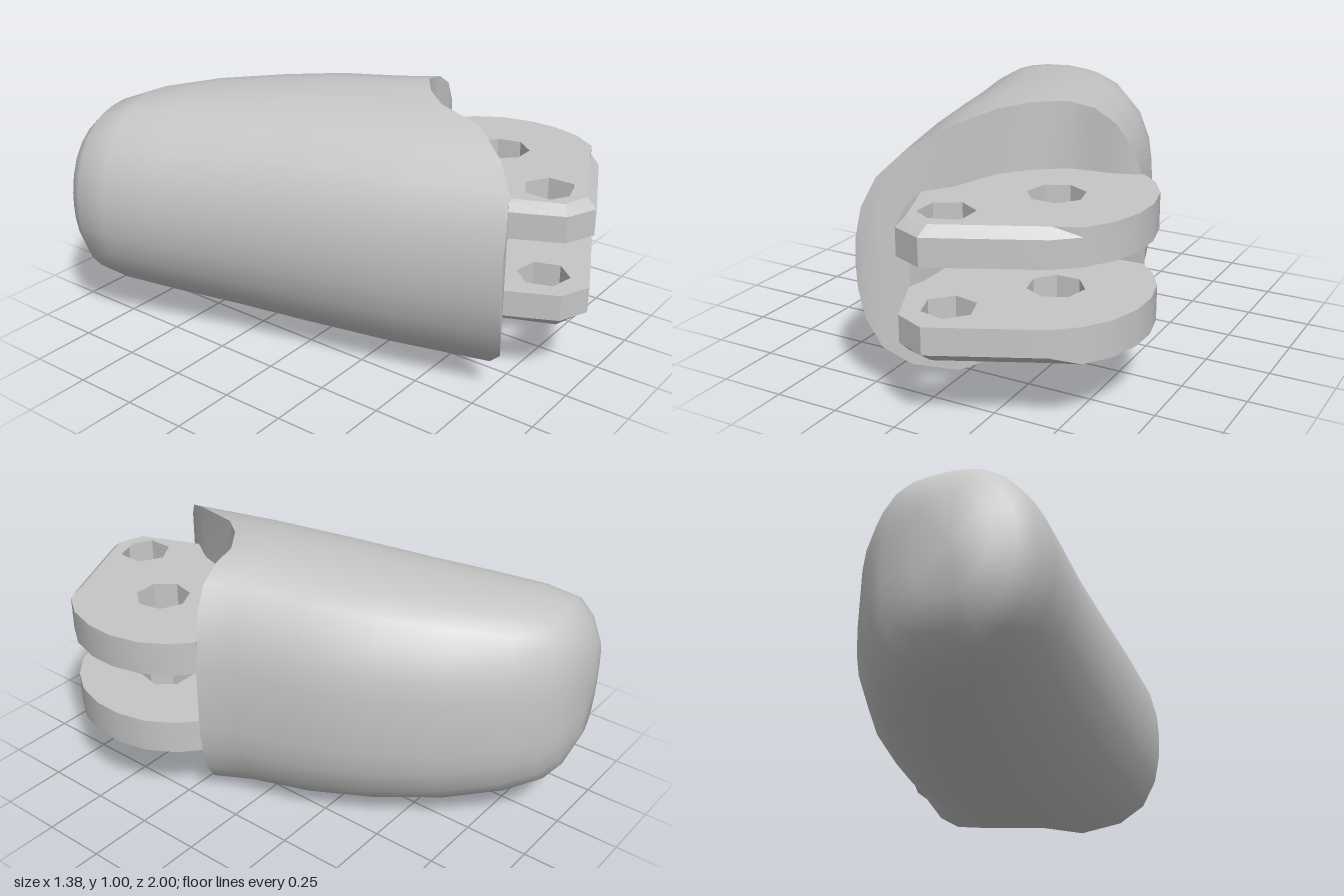
import * as THREE from 'three';
import { toCreasedNormals } from 'three/addons/utils/BufferGeometryUtils.js';

const MID = 0.5;            // height of the symmetry plane
const SLOT = 0.11;          // half height of the slot between the lugs
const SLOT_BACK = 0.13;     // z of the slot's back wall
const SLOT_LEFT = -0.1;     // x where the slot begins

// Plan curve (x, z) of the scooped front end
const cut = [
  [-0.25, 0.84], [-0.245, 0.84], [-0.22, 0.835], [-0.17, 0.81], [SLOT_LEFT, 0.73],
  [0, 0.58], [0.06, 0.38], [0.14, 0.28], [0.25, 0.2], [0.35, 0.185],
  [0.43, 0.175], [0.49, 0.155], [0.525, 0.14], [0.537, 0.132], [0.54, 0.13],
];
const us = cut.map(([x]) => (x + 0.25) / 0.79);

// Sections from the front to the tip: edge x, z; other edge x, z; half height; share of the scoop
const sections = [
  [-0.25, 0.84, 0.54, 0.13, 0.5, 1],
  [-0.36, 0.45, 0.475, 0, 0.495, 0.5],
  [-0.46, 0.07, 0.41, -0.23, 0.48, 0.2],
  [-0.54, -0.22, 0.31, -0.46, 0.455, 0],
  [-0.62, -0.48, 0.16, -0.69, 0.425, 0],
  [-0.68, -0.68, 0, -0.86, 0.39, 0],
  [-0.695, -0.8, -0.12, -0.95, 0.35, 0],
  [-0.66, -0.87, -0.2, -0.988, 0.29, 0],
  [-0.59, -0.935, -0.34, -1, 0.19, 0],
];

const lerp = THREE.MathUtils.lerp;
// Section height across the width: softer on the low-x side, squarer on the other
function rise(u) {
  const v = Math.abs(2 * Math.pow(u, 1.23) - 1);
  return Math.pow(Math.max(0, 1 - Math.pow(v, 2.7)), 0.37);
}

function sectionRing([lx, lz, rx, rz, h, scoop]) {
  const top = us.map((u, i) => [
    lerp(lx, rx, u),
    MID + h * rise(u),
    lerp(lz, rz, u) + scoop * (cut[i][1] - lerp(0.84, 0.13, u)),
  ]);
  const bottom = top.slice(1, -1).reverse().map(([x, y, z]) => [x, 2 * MID - y, z]);
  return [...top, ...bottom];
}

function geometryFrom(positions, crease) {
  const g = new THREE.BufferGeometry();
  g.setAttribute('position', new THREE.Float32BufferAttribute(positions, 3));
  return toCreasedNormals(g, crease);
}

// Rounded outer skin, lofted from the sections and closed at the tip
function shellGeometry() {
  const rings = sections.map(sectionRing);
  const n = rings[0].length;
  const out = [];
  for (let i = 0; i < rings.length; i++) {
    for (let j = 0; j < n; j++) {
      const k = (j + 1) % n;
      const a = rings[i][j], b = rings[i][k];
      if (i === rings.length - 1) {
        out.push(...a, ...b, -0.47, MID, -0.978);
      } else {
        const c = rings[i + 1][j], d = rings[i + 1][k];
        out.push(...a, ...b, ...c, ...b, ...d, ...c);
      }
    }
  }
  return geometryFrom(out, 0.8);
}

// Scooped front wall with a flat-backed slot
function frontWallGeometry() {
  const out = [];
  const quad = (a, b, c, d) => out.push(...a, ...b, ...c, ...a, ...c, ...d);
  const band = (p, q, p0, p1, q0, q1) => quad(
    [p[0], MID + p0, p[1]], [q[0], MID + q0, q[1]],
    [q[0], MID + q1, q[1]], [p[0], MID + p1, p[1]]);
  for (let i = 0; i < cut.length - 1; i++) {
    const p = cut[i], q = cut[i + 1];
    const hp = 0.5 * rise(us[i]), hq = 0.5 * rise(us[i + 1]);
    const sp = Math.min(hp, SLOT), sq = Math.min(hq, SLOT);
    band(p, q, sp, hp, sq, hq);
    band(p, q, -hp, -sp, -hq, -sq);
    if (p[0] < SLOT_LEFT) {
      band(p, q, -sp, sp, -sq, sq);
    } else {
      const pb = [p[0], SLOT_BACK], qb = [q[0], SLOT_BACK];
      band(pb, qb, -sp, sp, -sq, sq);
      // slot floor and ceiling
      const at = ([x, z], s) => [x, MID + s, z];
      quad(at(p, -sp), at(q, -sq), at(qb, -sq), at(pb, -sp));
      quad(at(pb, sp), at(qb, sq), at(q, sq), at(p, sp));
    }
  }
  // slot side
  band([SLOT_LEFT, 0.73], [SLOT_LEFT, SLOT_BACK], -SLOT, SLOT, -SLOT, SLOT);
  return geometryFrom(out, 0.6);
}

// Hinge lug outline (x, z); the chamfered corners carry their inner position too
const lugOutline = [
  [0.1, 0.22], [0.3, 0.15], [0.53, 0.135], [0.6, 0.2], [0.66, 0.3], [0.688, 0.42],
  [0.685, 0.53], [0.65, 0.65], [0.585, 0.745],
  [0.5, 0.82, 0.49, 0.785], [0.12, 1, 0.13, 0.955], [0, 0.95, 0.025, 0.925],
  [-0.105, 0.73, -0.07, 0.69], [-0.06, 0.55],
];

function lugGeometry(side) {
  const depth = 0.135;
  const shape = new THREE.Shape(lugOutline.map(([x, z]) => new THREE.Vector2(x, -side * z)));
  const hole = (x, z, r, sides, turn) => {
    const pts = [];
    for (let i = 0; i < sides; i++) {
      const a = turn + (i * 2 * Math.PI) / sides;
      pts.push(new THREE.Vector2(x + r * Math.cos(a), -side * z + r * Math.sin(a)));
    }
    shape.holes.push(new THREE.Path(pts));
  };
  hole(0.35, 0.48, 0.106, 7, Math.PI / 2);
  hole(0.115, 0.815, 0.1, 6, side > 0 ? Math.PI / 6 : 0.2);
  const g = new THREE.ExtrudeGeometry(shape, { depth, steps: 4, bevelEnabled: false });
  // pull the outer rim inwards for the chamfer
  const pos = g.attributes.position;
  for (let i = 0; i < pos.count; i++) {
    if (pos.getZ(i) < depth - 1e-4) continue;
    const corner = lugOutline.find(([x, z, ix]) => ix !== undefined &&
      Math.hypot(pos.getX(i) - x, -side * pos.getY(i) - z) < 1e-4);
    if (corner) pos.setXY(i, corner[2], -side * corner[3]);
  }
  g.rotateX(-side * Math.PI / 2);
  g.translate(0, 0.505 + side * 0.105, 0);
  return toCreasedNormals(g, 0.35);
}

export function createModel() {
  const grey = new THREE.MeshStandardMaterial({ color: 0xc6c6c6 });
  grey.name = 'plain grey';
  const model = new THREE.Group();
  model.name = 'hingedFingertip';
  const add = (name, geometry) => {
    const mesh = new THREE.Mesh(geometry, grey);
    mesh.name = name;
    model.add(mesh);
  };
  add('roundedShell', shellGeometry());
  add('scoopedFrontWall', frontWallGeometry());
  add('upperHingeLug', lugGeometry(1));
  add('lowerHingeLug', lugGeometry(-1));
  return model;
}
